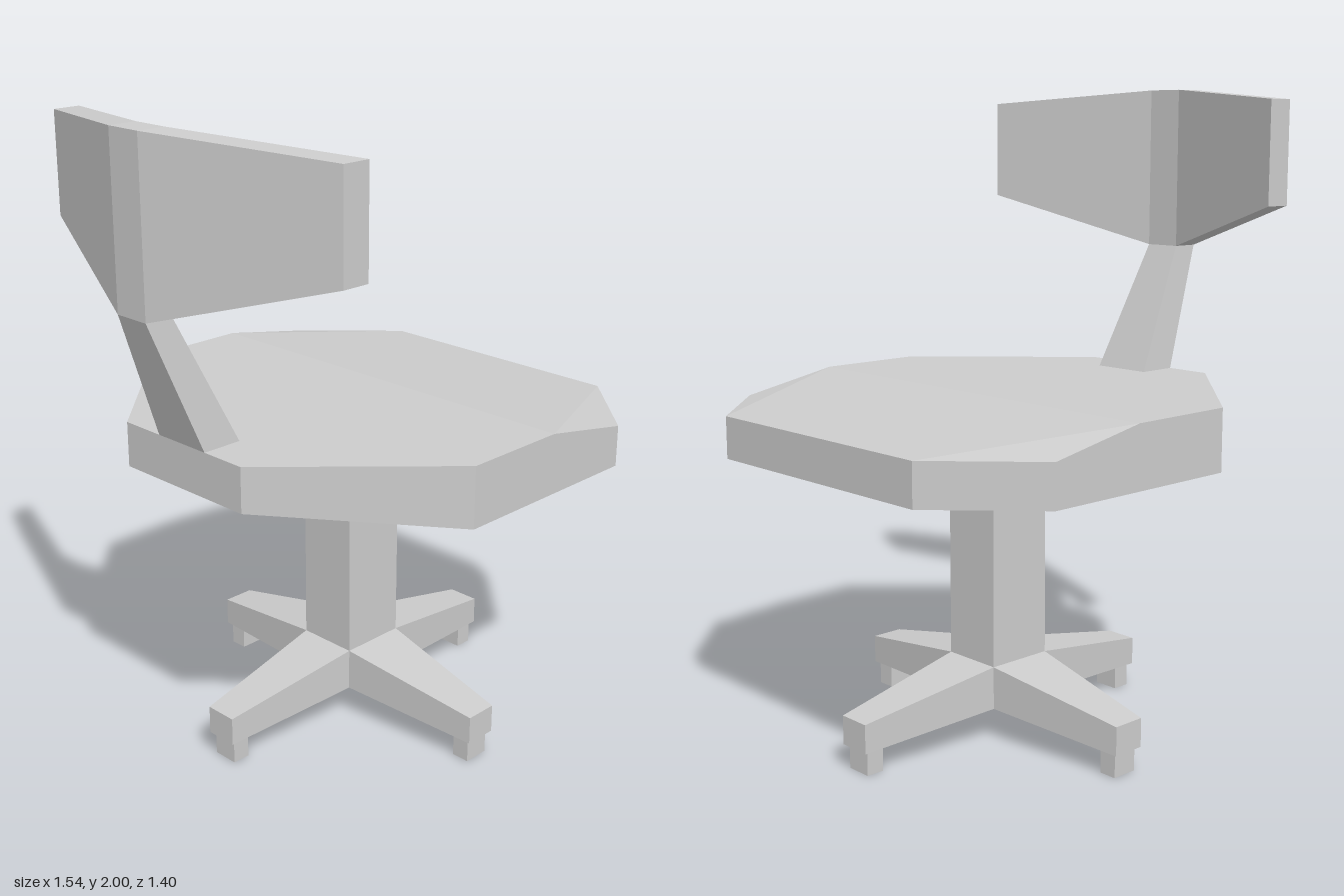
import * as THREE from 'three';
import { ConvexGeometry } from 'three/addons/geometries/ConvexGeometry.js';

const material = new THREE.MeshStandardMaterial({ color: 0xcccccc, flatShading: true });

// Capped skin through four-cornered sections, corners anticlockwise seen from the far end
function loft(sections) {
  const pos = [];
  const quad = (a, b, c, d) => pos.push(...a, ...b, ...c, ...a, ...c, ...d);
  for (let i = 0; i < sections.length - 1; i++) {
    const s = sections[i], t = sections[i + 1];
    for (let j = 0; j < 4; j++) {
      const k = (j + 1) % 4;
      quad(s[j], s[k], t[k], t[j]);
    }
  }
  quad(...[...sections[0]].reverse());
  quad(...sections[sections.length - 1]);
  const geometry = new THREE.BufferGeometry();
  geometry.setAttribute('position', new THREE.Float32BufferAttribute(pos, 3));
  geometry.computeVertexNormals();
  return geometry;
}

// Upright rectangle at depth z
const upright = (x0, x1, y0, y1, z) => [[x1, y0, z], [x1, y1, z], [x0, y1, z], [x0, y0, z]];
// Level rectangle at height y, half-width w in z
const level = (x0, x1, w, y) => [[x0, y, w], [x1, y, w], [x1, y, -w], [x0, y, -w]];

function add(parent, name, geometry, x = 0, y = 0, z = 0) {
  const mesh = new THREE.Mesh(geometry, material);
  mesh.name = name;
  mesh.position.set(x, y, z);
  parent.add(mesh);
  return mesh;
}

export function createModel() {
  const chair = new THREE.Group();
  chair.name = 'swivelChair';
  const cx = 0.07; // column axis

  // Seat: octagon with a dropped front and an underside tapering to the column
  const half = [
    [-0.62, 1.09, 0.25], [-0.16, 1.09, 0.7], [0.19, 1.09, 0.7], [0.51, 1.03, 0.7], [0.77, 1.03, 0.435],
    [-0.62, 0.95, 0.25], [-0.16, 0.9, 0.7], [0.51, 0.9, 0.7], [0.77, 0.9, 0.435],
    [-0.04, 0.83, 0.1], [0.18, 0.83, 0.1],
  ];
  const corners = half.flatMap(([x, y, z]) => [new THREE.Vector3(x, y, z), new THREE.Vector3(x, y, -z)]);
  add(chair, 'seat', new ConvexGeometry(corners));

  // Post leaning back from the seat, and the angled backrest
  add(chair, 'backPost', loft([level(-0.62, -0.49, 0.1, 1.09), level(-0.775, -0.685, 0.06, 1.49)]));
  add(chair, 'backrest', loft([
    upright(-0.57, -0.48, 1.645, 1.96, -0.595),
    upright(-0.775, -0.685, 1.49, 2, -0.06),
    upright(-0.775, -0.685, 1.49, 2, 0.06),
    upright(-0.57, -0.48, 1.645, 1.96, 0.595),
  ]));

  // Column, running down through the hub
  add(chair, 'column', new THREE.BoxGeometry(0.22, 0.725, 0.2), cx, 0.4675, 0);

  // Four tapering legs, each with a foot
  for (let i = 0; i < 4; i++) {
    const alongX = i % 2 === 1;
    const start = alongX ? 0.11 : 0.1;
    const width = alongX ? 0.1 : 0.11;
    const end = alongX ? 0.575 : 0.565;
    const leg = new THREE.Group();
    leg.name = 'leg' + (i + 1);
    leg.position.x = cx;
    leg.rotation.y = (i * Math.PI) / 2;
    add(leg, 'legArm', loft([
      upright(-width, width, 0.105, 0.24, start),
      upright(-0.053, 0.053, 0.075, 0.165, end),
    ]));
    add(leg, 'foot', new THREE.BoxGeometry(0.084, 0.08, 0.058), 0, 0.04, end - 0.044);
    chair.add(leg);
  }
  return chair;
}
